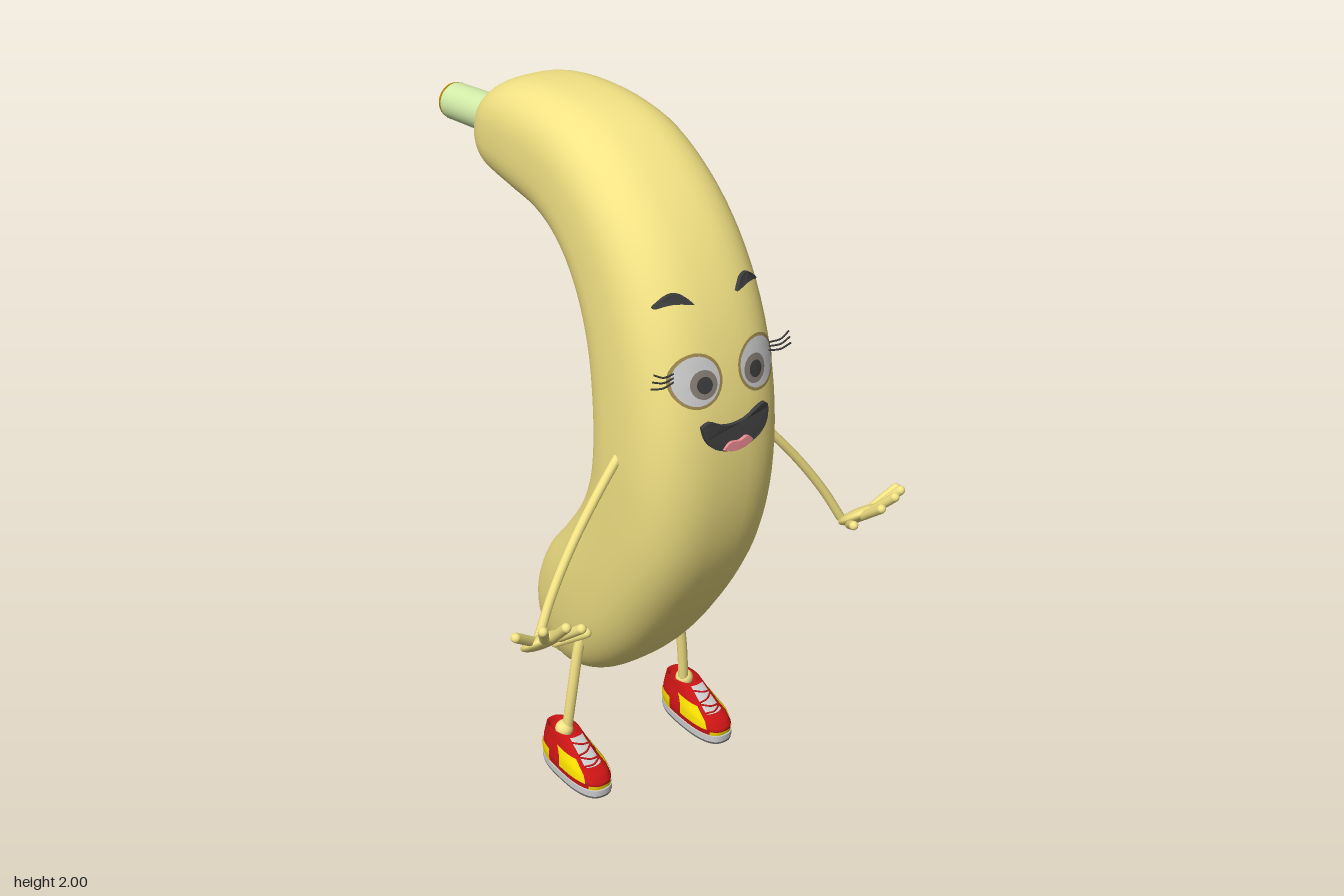
import * as THREE from 'three';
import { toCreasedNormals } from 'three/addons/utils/BufferGeometryUtils.js';

const V = (x, y, z) => new THREE.Vector3(x, y, z);
const mat = (color, side = THREE.FrontSide) => new THREE.MeshStandardMaterial({ color, side });
const SKIN = mat(0xf5e485), GREEN = mat(0xd4eeaa), BROWN = mat(0xb88a08), DARK = mat(0x3c3c3c, THREE.DoubleSide);
const RED = mat(0xc81414, THREE.DoubleSide), YELLOW = mat(0xf2d800, THREE.DoubleSide), WHITE = mat(0xdddddd, THREE.DoubleSide);
const GREY = mat(0x666666), IRIS = mat(0x857c74, THREE.DoubleSide), RIM = mat(0xa08a50, THREE.DoubleSide), PINK = mat(0xe88a90, THREE.DoubleSide);

function add(parent, name, geometry, material) {
  const mesh = new THREE.Mesh(geometry, material);
  mesh.name = name;
  parent.add(mesh);
  return mesh;
}

// Surface from fn(u, v); u can wrap around
function loft(nu, nv, fn, wrap = true) {
  const cols = wrap ? nu : nu + 1, pos = [], index = [];
  for (let j = 0; j <= nv; j++) for (let i = 0; i < cols; i++) pos.push(...fn(i / nu, j / nv).toArray());
  for (let j = 0; j < nv; j++) for (let i = 0; i < nu; i++) {
    const a = j * cols + i, b = j * cols + (i + 1) % cols, c = a + cols, d = b + cols;
    index.push(a, c, b, b, c, d);
  }
  const g = new THREE.BufferGeometry();
  g.setAttribute('position', new THREE.Float32BufferAttribute(pos, 3));
  g.setIndex(index);
  g.computeVertexNormals();
  return g;
}

const power = (t, n) => Math.sign(t) * Math.abs(t) ** (2 / n);

// Geometry running from a to b
function aim(mesh, a, b) {
  mesh.position.copy(a).lerp(b, 0.5);
  mesh.quaternion.setFromUnitVectors(V(0, 1, 0), b.clone().sub(a).normalize());
  return mesh;
}
const rod = (parent, name, a, b, r0, r1, m) =>
  aim(add(parent, name, new THREE.CylinderGeometry(r1, r0, a.distanceTo(b), 28), m), a, b);
const limb = (parent, name, a, b, r, m) =>
  aim(add(parent, name, new THREE.CapsuleGeometry(r, a.distanceTo(b), 5, 12), m), a, b);
const tube = (parent, name, pts, r, m) =>
  add(parent, name, new THREE.TubeGeometry(new THREE.CatmullRomCurve3(pts), 16, r, 10), m);

// Body sections: outer z, y, inner z, y, half width
const SECTIONS = [
  [-0.462, 1.825, -0.457, 1.745, 0.04], [-0.45, 1.845, -0.445, 1.725, 0.065], [-0.43, 1.86, -0.435, 1.715, 0.085],
  [-0.40, 1.895, -0.415, 1.70, 0.115], [-0.33, 1.945, -0.35, 1.675, 0.148], [-0.22, 1.985, -0.21, 1.66, 0.168],
  [-0.02, 2.0, -0.07, 1.645, 0.182], [0.165, 1.97, 0.02, 1.617, 0.195], [0.32, 1.885, 0.09, 1.565, 0.203],
  [0.455, 1.755, 0.145, 1.49, 0.21], [0.56, 1.58, 0.187, 1.39, 0.217], [0.625, 1.37, 0.21, 1.27, 0.222],
  [0.645, 1.155, 0.217, 1.11, 0.224], [0.63, 0.97, 0.195, 1.0, 0.22], [0.585, 0.81, 0.14, 0.88, 0.215],
  [0.48, 0.61, 0.03, 0.73, 0.207], [0.34, 0.415, -0.06, 0.625, 0.193], [0.19, 0.275, -0.13, 0.49, 0.165],
  [0.06, 0.205, -0.155, 0.387, 0.125], [-0.03, 0.185, -0.135, 0.31, 0.085], [-0.055, 0.175, -0.15, 0.28, 0.076],
  [-0.075, 0.158, -0.178, 0.257, 0.077],
];

function bodyGeometry() {
  const outer = new THREE.CatmullRomCurve3(SECTIONS.map(s => V(s[4], s[1], s[0])));
  const inner = new THREE.CatmullRomCurve3(SECTIONS.map(s => V(s[4], s[3], s[2])));
  return loft(48, 88, (u, v) => {
    const o = outer.getPoint(v), i = inner.getPoint(v), a = u * Math.PI * 2;
    const n = 2 + 0.8 * Math.min(1, 5 * v * (1 - v));
    const c = 0.5 + 0.5 * power(Math.cos(a), n);
    return V(power(Math.sin(a), n) * o.x, i.y + (o.y - i.y) * c, i.z + (o.z - i.z) * c);
  });
}

// Face parts are pressed onto the front of the body
function makeFace(group, body) {
  const ray = new THREE.Raycaster(), cache = new Map();
  body.updateMatrixWorld(true);
  const surface = (x, y) => {
    const key = x.toFixed(4) + ',' + y.toFixed(4);
    if (!cache.has(key)) {
      ray.set(V(x, y, 2), V(0, 0, -1));
      const hit = ray.intersectObject(body)[0];
      cache.set(key, hit ? hit.point.z : 0.55);
    }
    return cache.get(key);
  };
  const press = (name, g, lift, m) => {
    const p = g.attributes.position;
    for (let i = 0; i < p.count; i++) p.setZ(i, surface(p.getX(i), p.getY(i)) + (p.getZ(i) > 0.5 ? lift : -0.01));
    g.computeVertexNormals();
    return add(group, name, g, m);
  };
  const disc = (name, x, y, r0, r1, lift, m) =>
    press(name, new THREE.RingGeometry(r0, r1, 28, 4).translate(x, y, 1), lift, m);
  const patch = (name, pts, lift, m) => {
    const shape = new THREE.Shape(new THREE.SplineCurve([...pts, pts[0]].map(p => new THREE.Vector2(...p))).getPoints(36).slice(0, -1));
    return press(name, new THREE.ExtrudeGeometry(shape, { depth: 1, bevelEnabled: false }), lift, m);
  };
  for (const s of [-1, 1]) {
    disc('eyeWhite', s * 0.098, 1.43, 0, 0.068, 0.006, WHITE);
    disc('eyeRim', s * 0.098, 1.43, 0.064, 0.072, 0.008, RIM);
    disc('iris', s * 0.082, 1.42, 0, 0.038, 0.009, IRIS);
    disc('pupil', s * 0.082, 1.42, 0, 0.022, 0.012, DARK);
    patch('eyebrow', [[0.068, 1.615], [0.09, 1.638], [0.115, 1.645], [0.14, 1.635], [0.165, 1.612], [0.138, 1.62], [0.11, 1.622]]
      .map(([x, y]) => [s * x, y]), 0.012, DARK);
    for (let k = 0; k < 3; k++)
      tube(group, 'eyelash', [V(s * 0.155, 1.435 + k * 0.012, 0.583), V(s * 0.19, 1.431 + k * 0.015, 0.588),
        V(s * (0.226 - k * 0.004), 1.437 + k * 0.019, 0.585)], 0.0025, DARK);
  }
  patch('mouth', [[-0.1, 1.308], [-0.075, 1.318], [-0.03, 1.298], [0.03, 1.298], [0.09, 1.32], [0.118, 1.31],
    [0.11, 1.265], [0.07, 1.235], [0, 1.222], [-0.06, 1.238], [-0.09, 1.268]], 0.012, DARK);
  patch('tongue', [[-0.043, 1.235], [-0.02, 1.25], [0.01, 1.247], [0.035, 1.253], [0.052, 1.238], [0.03, 1.226], [0, 1.223], [-0.02, 1.226]], 0.017, PINK);
}

function makeArm(group, s) {
  const P = (x, y, z) => V(s * x, y, z);
  tube(group, 'arm', [P(0.19, 1.185, 0.425), P(0.225, 1.155, 0.432), P(0.37, 0.99, 0.46), P(0.465, 0.855, 0.485), P(0.52, 0.755, 0.505)], 0.013, SKIN);
  const hand = new THREE.Group();
  hand.name = 'hand';
  group.add(hand);
  const palm = add(hand, 'palm', new THREE.SphereGeometry(1, 24, 16), SKIN);
  palm.position.copy(P(0.542, 0.785, 0.56));
  palm.scale.set(0.06, 0.076, 0.02);
  palm.rotation.x = 0.86;
  // Thumb first: knuckle then tip
  const fingers = [[0.505, 0.765, 0.56, 0.455, 0.815, 0.63], [0.518, 0.81, 0.6, 0.506, 0.878, 0.682], [0.543, 0.825, 0.61, 0.553, 0.9, 0.683],
    [0.565, 0.82, 0.6, 0.603, 0.89, 0.652], [0.575, 0.8, 0.57, 0.645, 0.853, 0.59]];
  for (const f of fingers) limb(hand, 'finger', P(f[0], f[1], f[2]), P(f[3], f[4], f[5]), 0.0135, SKIN);
}

// Shoe levels: heel y, toe y, half width, back z, front z
const UPPER = [[0.026, 0.026, 0.058, 0.107, 0.38], [0.05, 0.048, 0.06, 0.102, 0.383], [0.08, 0.066, 0.055, 0.104, 0.368],
  [0.105, 0.085, 0.046, 0.108, 0.32], [0.122, 0.135, 0.036, 0.112, 0.235], [0.105, 0.11, 0.027, 0.125, 0.222], [0.1, 0.1, 0.001, 0.17, 0.18]];
const slab = (y0, y1, g) => [[y0, y0, 0.001, 0.24, 0.245], [y0, y0, 0.06 + g, 0.104 - g, 0.384 + g],
  [y1, y1, 0.06 + g, 0.104 - g, 0.384 + g], [y1, y1, 0.001, 0.24, 0.245]];

function shoePoint(levels, u, level, grow = 0) {
  const k = Math.min(Math.floor(level), levels.length - 2);
  const [yh, yt, hw, zb, zf] = levels[k].map((q, i) => q + (levels[k + 1][i] - q) * (level - k));
  const a = u * Math.PI * 2, c = power(Math.cos(a), 2.6), f = 0.5 + 0.5 * c;
  return V(-power(Math.sin(a), 2.6) * (hw + grow), yh + (yt - yh) * f + grow * 0.5, (zb + zf) / 2 + c * ((zf - zb) / 2 + grow));
}

function makeLeg(group, s) {
  tube(group, 'leg', [V(s * 0.16, 0.46, 0.19), V(s * 0.178, 0.4, 0.19), V(s * 0.2, 0.26, 0.19), V(s * 0.217, 0.1, 0.182)], 0.016, SKIN);
  const shoe = new THREE.Group();
  shoe.name = 'shoe';
  shoe.position.x = s * 0.222;
  group.add(shoe);
  add(shoe, 'ankle', new THREE.SphereGeometry(0.027, 20, 14), SKIN).position.set(0, 0.118, 0.178);
  const layer = (name, levels, m) => add(shoe, name,
    toCreasedNormals(loft(40, levels.length - 1, (u, v) => shoePoint(levels, u, v * (levels.length - 1))), 0.9), m);
  layer('outsole', slab(0, 0.008, 0), GREY);
  layer('midsole', slab(0.008, 0.028, 0.002), WHITE);
  add(shoe, 'upper', loft(40, 24, (u, v) => shoePoint(UPPER, u, v * 6)), RED);
  // Overlays cover a range of angle and level
  const overlay = (name, u0, u1, l0, l1, m) => add(shoe, name,
    loft(14, 8, (u, v) => shoePoint(UPPER, u0 + (u1 - u0) * u, l0 + (l1 - l0) * v, 0.0025), false), m);
  for (const [a, b] of [[0.12, 0.25], [0.75, 0.88]]) overlay('sidePanel', a, b, 0.9, 3.1, YELLOW);
  for (const [a, b] of [[0.3, 0.42], [0.58, 0.7]]) overlay('heelPanel', a, b, 0, 1.7, YELLOW);
  overlay('toeBand', -0.1, 0.1, 0.1, 0.7, YELLOW);
  overlay('tongue', -0.075, 0.075, 2.7, 3.9, WHITE);
  for (let k = 0; k < 4; k++) {
    const l = 2.85 + k * 0.26, d = k % 2 ? 0.1 : -0.1;
    tube(shoe, 'lace', [-0.08, 0, 0.08].map(u => shoePoint(UPPER, (u + 1) % 1, l + Math.sign(u) * d, 0.004)), 0.0028, RED);
  }
}

export function createModel() {
  const group = new THREE.Group();
  group.name = 'fruitFigure';
  const body = add(group, 'body', bodyGeometry(), SKIN);
  // Stem with its cut end
  rod(group, 'stem', V(0, 1.787, -0.44), V(0, 1.761, -0.69), 0.057, 0.055, GREEN);
  rod(group, 'stemEnd', V(0, 1.761, -0.69), V(0, 1.76, -0.703), 0.0555, 0.053, BROWN);
  // Blossom end
  rod(group, 'bottomTip', V(0, 0.222, -0.112), V(0, 0.204, -0.13), 0.07, 0.073, BROWN);
  makeFace(group, body);
  for (const s of [-1, 1]) {
    makeArm(group, s);
    makeLeg(group, s);
  }
  return group;
}
